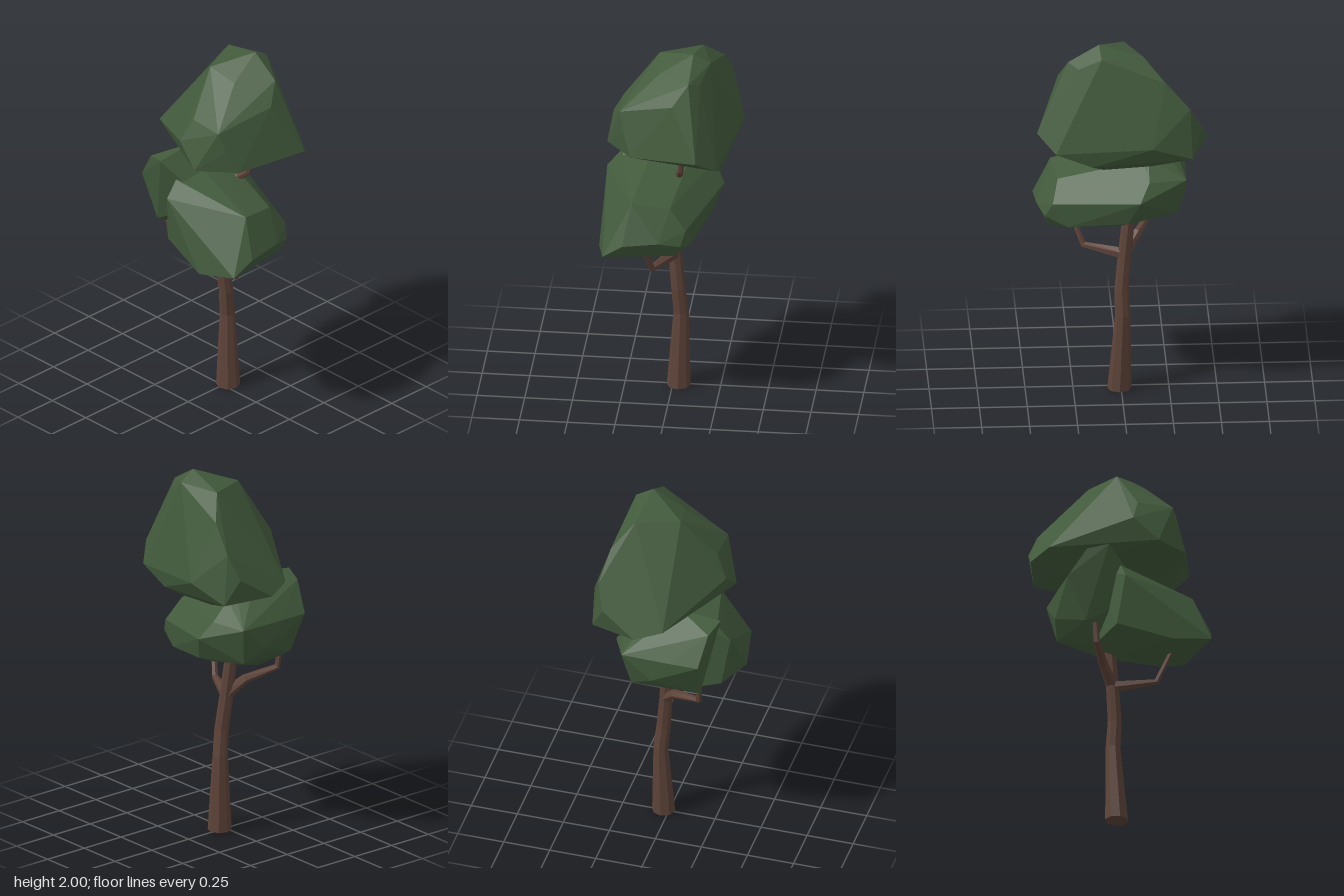
import * as THREE from 'three';
import { ConvexGeometry } from 'three/addons/geometries/ConvexGeometry.js';

const bark = new THREE.MeshStandardMaterial({ color: 0x5d4339, flatShading: true });
bark.name = 'bark brown';
const leaf = new THREE.MeshStandardMaterial({ color: 0x425a3c, flatShading: true });
leaf.name = 'leaf green';

// Faceted limb: rings of the given radius at each [x, y, z, radius], capped at both ends
function limb(name, stations, sides) {
  const centres = stations.map(s => new THREE.Vector3(s[0], s[1], s[2]));
  const up = new THREE.Vector3(0, 1, 0);
  const last = centres.length - 1;
  const rings = centres.map((c, i) => {
    const dir = new THREE.Vector3();
    if (i > 0) dir.add(c.clone().sub(centres[i - 1]).normalize());
    if (i < last) dir.add(centres[i + 1].clone().sub(c).normalize());
    if (c.y === 0) dir.copy(up); // flat foot on the ground
    const q = new THREE.Quaternion().setFromUnitVectors(up, dir.normalize());
    return Array.from({ length: sides }, (_, k) => {
      const a = (k / sides) * Math.PI * 2;
      const r = stations[i][3];
      return new THREE.Vector3(Math.cos(a) * r, 0, Math.sin(a) * r).applyQuaternion(q).add(c);
    });
  });
  const tris = [];
  for (let k = 0; k < sides; k++) {
    const n = (k + 1) % sides;
    for (let i = 0; i < last; i++) {
      const lo = rings[i], hi = rings[i + 1];
      tris.push(lo[k], hi[k], lo[n], lo[n], hi[k], hi[n]);
    }
    tris.push(centres[0], rings[0][k], rings[0][n]);
    tris.push(centres[last], rings[last][n], rings[last][k]);
  }
  const geometry = new THREE.BufferGeometry().setFromPoints(tris);
  geometry.computeVertexNormals();
  const mesh = new THREE.Mesh(geometry, bark);
  mesh.name = name;
  return mesh;
}

// Faceted clump of leaves wrapped around its corner points
function clump(name, corners) {
  const mesh = new THREE.Mesh(new ConvexGeometry(corners.map(p => new THREE.Vector3(...p))), leaf);
  mesh.name = name;
  return mesh;
}

export function createModel() {
  const tree = new THREE.Group();
  tree.name = 'tree';

  // Trunk, leaning slightly as it rises
  tree.add(limb('trunk', [
    [0.031, 0, 0.009, 0.063], [0.042, 0.42, -0.008, 0.04], [0.028, 0.56, -0.003, 0.038],
    [0.012, 0.73, -0.018, 0.036], [-0.003, 0.95, -0.04, 0.033], [0, 1.28, -0.05, 0.025],
  ], 8));

  // Branches reaching into the leaves
  tree.add(limb('frontBranch', [
    [0.01, 0.755, -0.02, 0.034], [-0.09, 0.768, 0.19, 0.018], [-0.145, 0.96, 0.27, 0.012],
  ], 6));
  tree.add(limb('backBranch', [
    [0.01, 0.76, -0.02, 0.034], [-0.06, 0.845, -0.09, 0.025], [-0.21, 0.9, -0.17, 0.018], [-0.22, 1.0, -0.18, 0.015],
  ], 6));
  tree.add(limb('upperFrontBranch', [
    [0, 1.24, -0.05, 0.025], [0.04, 1.265, 0.08, 0.02], [0.055, 1.32, 0.14, 0.016], [0.065, 1.46, 0.16, 0.013],
  ], 6));
  tree.add(limb('upperBackBranch', [
    [0, 1.24, -0.05, 0.025], [-0.01, 1.34, -0.09, 0.018], [-0.02, 1.48, -0.1, 0.014],
  ], 6));

  // Lower leaves: a low front lobe and a higher back lobe, creased where they meet
  const lower = new THREE.Group();
  lower.name = 'lowerLeaves';
  lower.add(clump('frontLobe', [
    [-0.35, 1.235, -0.055], [-0.28, 1.32, -0.06], [-0.1, 1.36, -0.13], [0.1, 1.33, -0.14],
    [0.2, 1.24, -0.14], [0.26, 1.145, -0.09], [0.205, 1.01, -0.03], [0.12, 0.965, 0],
    [-0.31, 0.97, -0.09], [-0.365, 0.895, 0.2], [-0.325, 0.94, 0.42], [-0.22, 1.02, 0.45],
    [-0.03, 1.04, 0.44], [0.08, 1.01, 0.4], [0.04, 0.945, 0.38], [0.105, 1.085, 0.36],
    [-0.18, 1.225, 0.36], [0.02, 1.195, 0.33], [0.12, 0.96, 0.28], [-0.1, 0.885, 0],
    [-0.1, 0.93, -0.15],
  ]));
  lower.add(clump('backLobe', [
    [-0.32, 1.415, -0.135], [-0.285, 1.39, -0.245], [-0.255, 1.235, -0.34], [-0.1, 1.235, -0.34],
    [-0.1, 1.44, -0.13], [0.08, 1.33, -0.2], [0.1, 1.34, -0.14], [0.2, 1.24, -0.14],
    [0.16, 1.235, -0.335], [0.26, 1.145, -0.09], [0.205, 1.01, -0.03], [0.12, 1.03, -0.29],
    [0, 1.1, -0.335], [-0.24, 1.0, -0.24], [-0.1, 0.93, -0.15], [-0.2, 1.2, 0.1],
  ]));
  tree.add(lower);

  // Upper leaves, a tall crown overhanging the back
  tree.add(clump('upperLeaves', [
    [0.12, 2, 0.12], [0.21, 1.95, 0.11], [-0.07, 1.93, -0.02], [0.15, 1.94, -0.11],
    [-0.05, 1.89, 0.14], [0.03, 1.79, 0.33], [0.11, 1.9, 0.28], [0.165, 1.88, 0.23],
    [0.25, 1.83, -0.22], [0.28, 1.69, -0.35], [0.24, 1.56, -0.41], [0.06, 1.44, -0.45],
    [0.31, 1.42, -0.36], [0.36, 1.5, -0.15], [0.28, 1.37, 0.16], [0.265, 1.44, 0.35],
    [0.165, 1.52, 0.445], [-0.19, 1.48, 0.32], [-0.255, 1.7, 0.23], [-0.235, 1.6, 0.265],
    [-0.33, 1.47, 0.13], [-0.31, 1.59, 0], [-0.25, 1.71, 0.04], [-0.08, 1.47, -0.39],
    [0.04, 1.38, -0.31], [0.22, 1.33, 0.1], [0.22, 1.345, -0.15], [-0.1, 1.41, 0],
  ]));

  return tree;
}
